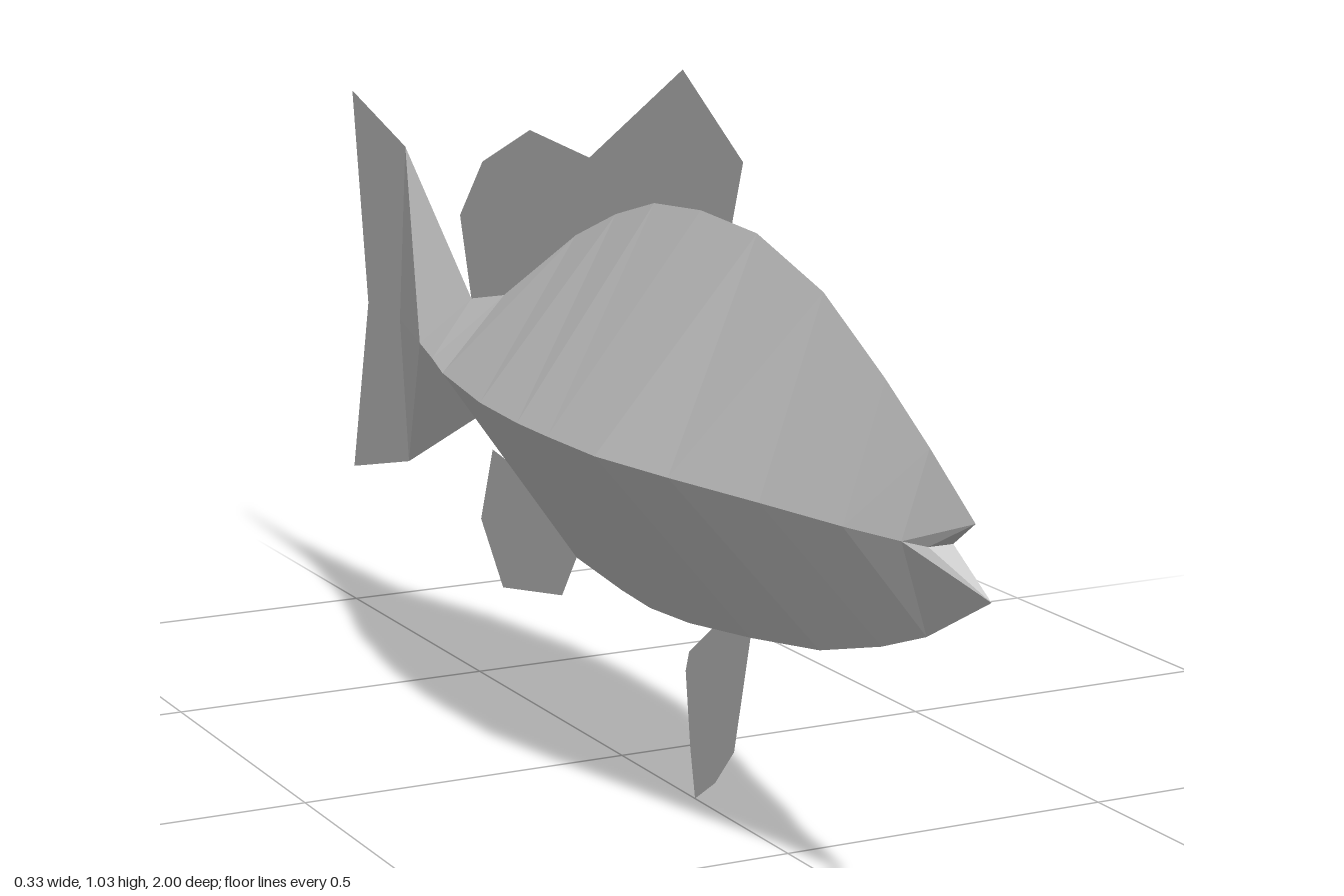
import * as THREE from 'three';

const MID = 0.515; // height of the side ridge

// Each body section: [top z, top y, ridge z, half width, belly z, belly y]
const SECTIONS = [
  [0.88, MID, 0.88, 0, 0.88, MID],             // back of the mouth
  [0.96, 0.56, 0.88, 0.018, 1.0, 0.47],        // lips and mouth corners
  [0.85, 0.633, 0.84, 0.033, 0.85, 0.39],
  [0.74, 0.70, 0.74, 0.06, 0.74, 0.35],
  [0.58, 0.785, 0.58, 0.093, 0.58, 0.305],
  [0.40, 0.835, 0.40, 0.133, 0.39, 0.275],
  [0.24, 0.843, 0.24, 0.163, 0.21, 0.252],
  [0.10, 0.833, 0.10, 0.167, 0.09, 0.245],
  [-0.02, 0.80, 0, 0.167, 0, 0.25],
  [-0.15, 0.75, -0.15, 0.156, -0.15, 0.265],
  [-0.40, 0.62, -0.37, 0.117, -0.37, 0.36],
  [-0.52, 0.595, -0.48, 0.085, -0.48, 0.42],   // tail root
  [-0.77, 0.80, -0.60, 0.053, -0.77, 0.285],   // spread of the tail
  [-0.80, MID, -0.80, 0, -0.80, MID],
];

// Fin outlines as [z, y] on the centre plane
const FINS = {
  dorsalFin: [[0.33, 0.838], [0.36, 0.925], [0.185, 1.03], [-0.105, 0.87], [-0.305, 0.885],
    [-0.475, 0.815], [-0.56, 0.72], [-0.52, 0.595], [-0.40, 0.62], [-0.15, 0.75], [-0.02, 0.80], [0.10, 0.833]],
  pelvicFin: [[0.39, 0.275], [0.345, 0.10], [0.29, 0.04], [0.23, 0], [0.215, 0.07],
    [0.20, 0.18], [0.21, 0.21], [0.28, 0.262]],
  analFin: [[-0.15, 0.265], [-0.20, 0.195], [-0.41, 0.158], [-0.49, 0.25], [-0.445, 0.37], [-0.37, 0.36]],
  tailFin: [[-0.77, 0.80], [-0.985, 0.865], [-0.93, 0.52], [-1.0, 0.23], [-0.77, 0.285], [-0.80, MID]],
};

// Diamond cross-sections joined into one closed faceted skin
function bodyGeometry() {
  const rings = SECTIONS.map(([zt, yt, zs, w, zb, yb]) => [
    new THREE.Vector3(0, yt, zt), new THREE.Vector3(w, MID, zs),
    new THREE.Vector3(0, yb, zb), new THREE.Vector3(-w, MID, zs),
  ]);
  const positions = [];
  const face = (...corners) => {
    if (new THREE.Triangle(...corners).getArea() < 1e-7) return;
    corners.forEach((p) => positions.push(p.x, p.y, p.z));
  };
  for (let i = 0; i < rings.length - 1; i++) {
    for (let k = 0; k < 4; k++) {
      const n = (k + 1) % 4;
      const a = rings[i][k], b = rings[i][n], c = rings[i + 1][n], d = rings[i + 1][k];
      // Diagonals mirror across the ridge and the centre plane
      if (k % 2 === 0) { face(a, b, c); face(a, c, d); }
      else { face(a, b, d); face(b, c, d); }
    }
  }
  const geometry = new THREE.BufferGeometry();
  geometry.setAttribute('position', new THREE.Float32BufferAttribute(positions, 3));
  geometry.computeVertexNormals();
  return geometry;
}

// Paper-thin fin standing on the centre plane
function finGeometry(outline) {
  const shape = new THREE.Shape(outline.map(([z, y]) => new THREE.Vector2(z, y)));
  return new THREE.ShapeGeometry(shape).rotateY(-Math.PI / 2);
}

export function createModel() {
  const group = new THREE.Group();
  group.name = 'fish';
  const skin = new THREE.MeshStandardMaterial({ color: 0xcccccc, flatShading: true });
  const finSkin = new THREE.MeshStandardMaterial({ color: 0xcccccc, flatShading: true, side: THREE.DoubleSide });

  const add = (name, geometry, material) => {
    const mesh = new THREE.Mesh(geometry, material);
    mesh.name = name;
    group.add(mesh);
  };

  add('body', bodyGeometry(), skin);
  for (const [name, outline] of Object.entries(FINS)) add(name, finGeometry(outline), finSkin);
  return group;
}
